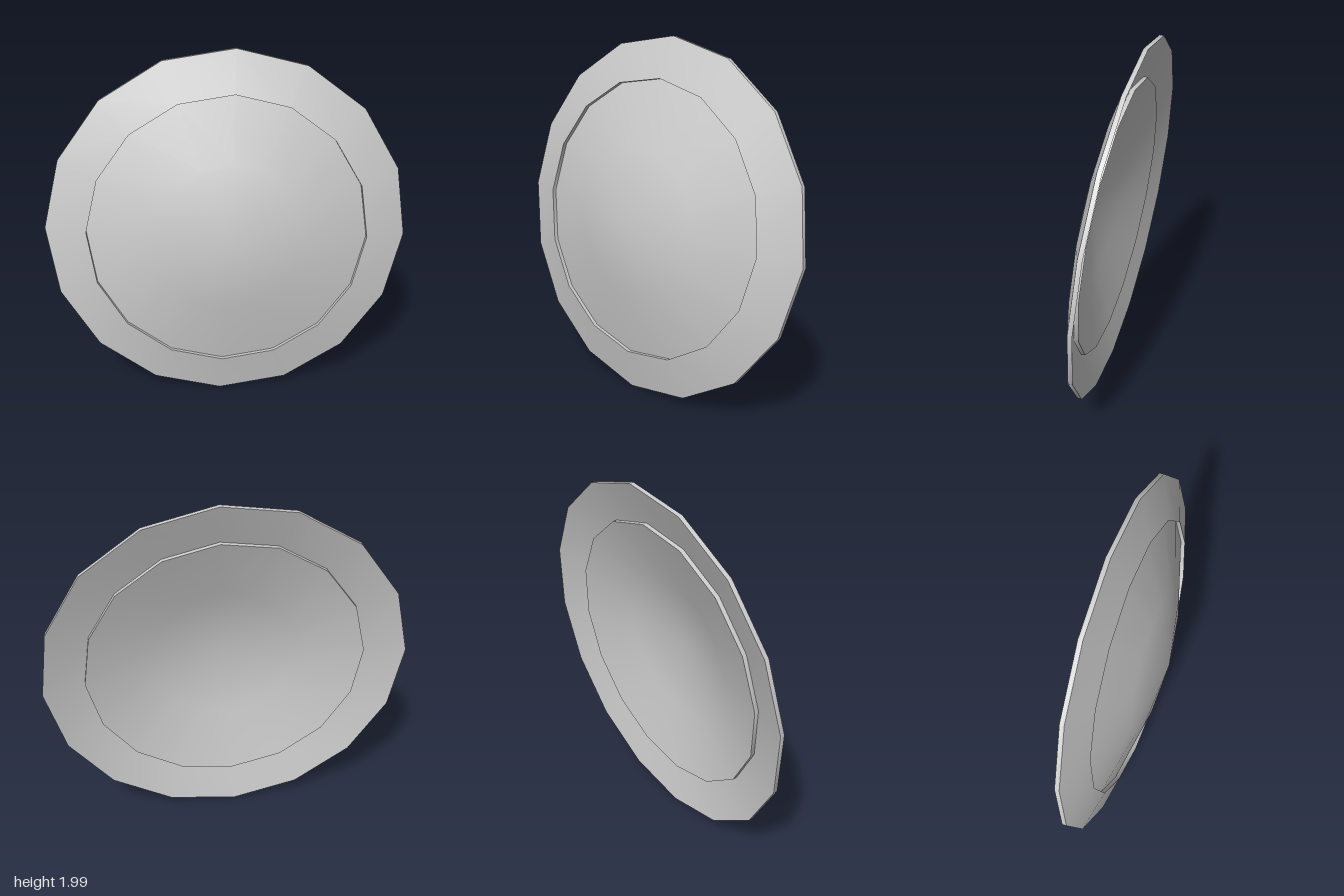
import * as THREE from 'three';
import { toCreasedNormals } from 'three/addons/utils/BufferGeometryUtils.js';

const SIDES = 16;
const EDGE = 0.775; // radius where dome and rim meet

export function createModel() {
  const model = new THREE.Group();
  model.name = 'roundShield';
  const material = new THREE.MeshStandardMaterial({ color: 0xcccccc });

  // Turns a [radius, depth] profile around the shield's forward axis
  const addTurned = (name, profile) => {
    const points = profile.map(([r, d]) => new THREE.Vector2(r, d));
    const lathe = new THREE.LatheGeometry(points, SIDES).rotateX(Math.PI / 2);
    const mesh = new THREE.Mesh(toCreasedNormals(lathe, 0.52), material);
    mesh.name = name;
    model.add(mesh);
  };

  // Thin domed plate, hollow at the back and set behind the rim
  addTurned('dome', [
    [0, 0.151], [0.41, 0.075], [EDGE, -0.029],
    [EDGE, -0.004], [0.41, 0.1], [0, 0.176],
  ]);

  // Sloping outer band standing proud of the dome
  addTurned('rim', [
    [EDGE, -0.005], [1.002, -0.071], [1.002, -0.047], [EDGE, 0.02], [EDGE, -0.005],
  ]);

  // Leaned back, with a slight turn and roll
  model.rotation.set(-0.105, 0.02, -0.053);
  model.position.y = 1.003;

  const root = new THREE.Group();
  root.name = 'shield';
  root.add(model);
  return root;
}
